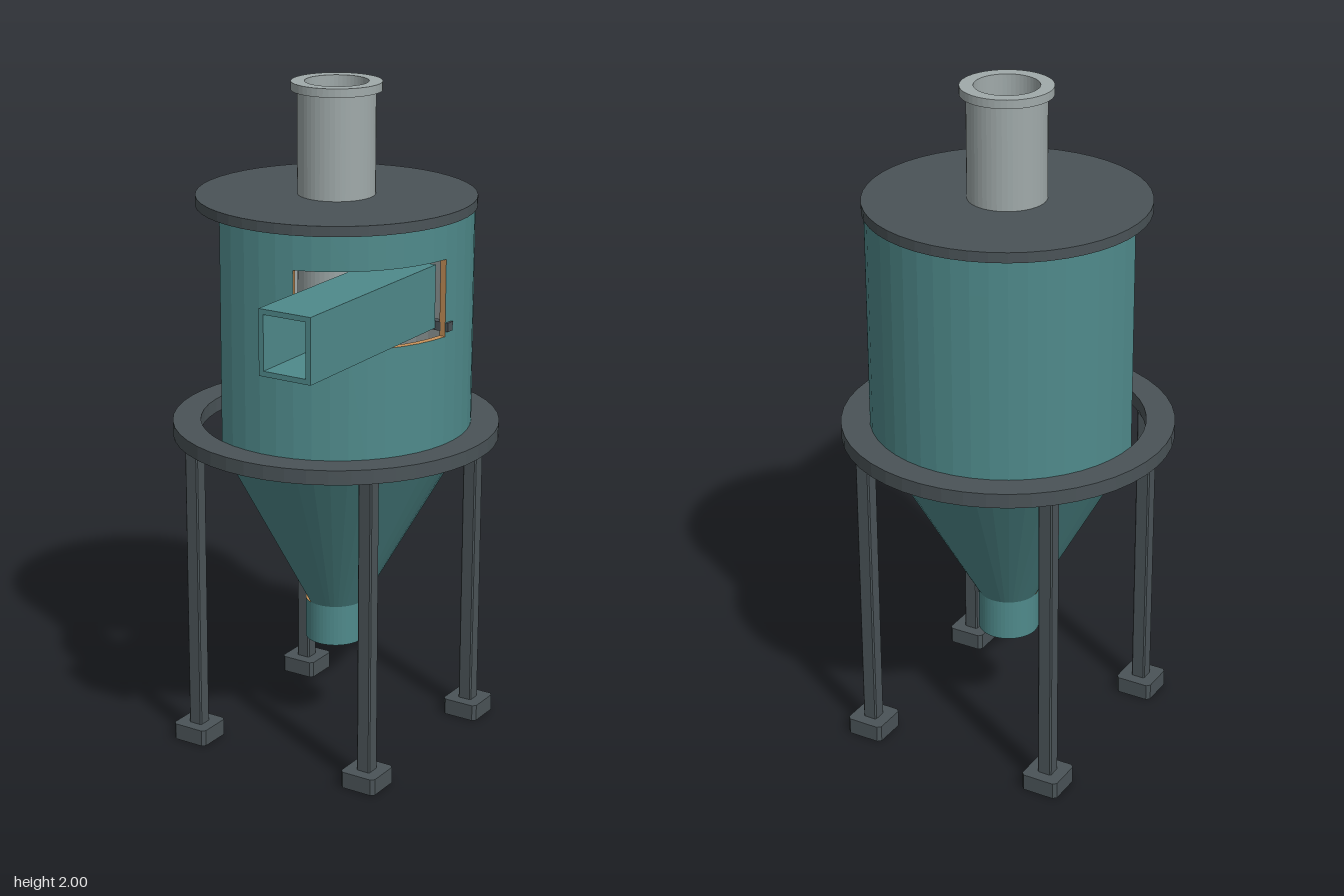
import * as THREE from 'three';

const rad = THREE.MathUtils.degToRad;
const material = (color) => new THREE.MeshStandardMaterial({ color, flatShading: true, side: THREE.DoubleSide });
const teal = material(0x4f8a8b);
const dark = material(0x4a5357);
const steel = material(0xa0aaaa);
const cutFace = material(0xc8935a);

const AXIS_Z = -0.107;
const WALL = 0.02;
const SEGMENTS = 48;

function add(parent, name, geometry, mat) {
  const mesh = new THREE.Mesh(geometry, mat);
  mesh.name = name;
  parent.add(mesh);
  return mesh;
}

// Revolved profile [r, y] between two angles, measured from +z towards +x
function revolve(points, from = 0, to = 360) {
  const steps = Math.max(1, Math.round(((to - from) / 360) * SEGMENTS));
  return new THREE.LatheGeometry(points.map(([r, y]) => new THREE.Vector2(r, y)), steps, rad(from), rad(to - from));
}

const ringProfile = (inner, outer, y0, y1) => [[inner, y0], [outer, y0], [outer, y1], [inner, y1], [inner, y0]];

// Wall segment: painted outside, bare inside
function shell(parent, name, y0, r0, y1, r1, from, to) {
  add(parent, name + 'Outside', revolve([[r0, y0], [r1, y1]], from, to), teal);
  add(parent, name + 'Inside', revolve([[r1 - WALL, y1], [r0 - WALL, y0]], from, to), steel);
}

// Radial section through the wall at one angle
function section(parent, name, corners, angle) {
  const shape = new THREE.Shape(corners.map(([r, y]) => new THREE.Vector2(r, y)));
  add(parent, name, new THREE.ShapeGeometry(shape).rotateY(rad(angle - 90)), cutFace);
}

// Upright square post with small chamfers on its vertical edges
function post(width, y0, y1, c) {
  const h = width / 2;
  const shape = new THREE.Shape([
    [h - c, -h], [h, c - h], [h, h - c], [h - c, h], [c - h, h], [-h, h - c], [-h, c - h], [c - h, -h],
  ].map(([x, y]) => new THREE.Vector2(x, y)));
  return new THREE.ExtrudeGeometry(shape, { depth: y1 - y0, bevelEnabled: false }).rotateX(-Math.PI / 2).translate(0, y0, 0);
}

// Square bar between two points
function brace(parent, name, a, b, size) {
  const start = new THREE.Vector3(...a);
  const end = new THREE.Vector3(...b);
  const mesh = add(parent, name, new THREE.BoxGeometry(size, size, start.distanceTo(end)), dark);
  mesh.position.copy(start).add(end).multiplyScalar(0.5);
  mesh.lookAt(end);
}

export function createModel() {
  const model = new THREE.Group();
  model.name = 'cycloneSeparator';
  const vessel = new THREE.Group();
  vessel.name = 'vessel';
  vessel.position.z = AXIS_Z;
  model.add(vessel);

  const R = 0.4, OUT = 0.09;
  const coneBottom = 0.425, coneTop = 0.975, bodyTop = 1.645;
  const start = -22.5, end = 270;
  const win = { y0: 1.32, y1: 1.545, from: 15, to: 82.5 };

  // Cylindrical body with cutaway and inlet window
  shell(vessel, 'bodyLower', coneTop, R, win.y0, R, start, end);
  shell(vessel, 'bodyUpper', win.y1, R, bodyTop, R, start, end);
  shell(vessel, 'bodyFront', win.y0, R, win.y1, R, start, win.from);
  shell(vessel, 'bodyRear', win.y0, R, win.y1, R, win.to, end);

  // Cone
  shell(vessel, 'cone', coneBottom, OUT, coneTop, R, start, end);

  // Exposed wall sections of the cutaway
  for (const angle of [start, end]) {
    section(vessel, 'cutawayEdge', [
      [OUT - WALL, coneBottom], [OUT, coneBottom], [R, coneTop],
      [R, bodyTop], [R - WALL, bodyTop], [R - WALL, coneTop],
    ], angle);
  }
  add(vessel, 'cutawayFloor', revolve([[OUT, coneBottom], [OUT - WALL, coneBottom]], end, 360 + start), cutFace);

  // Edges of the inlet window
  for (const angle of [win.from, win.to]) {
    section(vessel, 'windowEdge', [[R - WALL, win.y0], [R, win.y0], [R, win.y1], [R - WALL, win.y1]], angle);
  }
  add(vessel, 'windowSill', revolve([[R, win.y0], [R - WALL, win.y0]], win.from, win.to), cutFace);
  add(vessel, 'windowHead', revolve([[R - WALL, win.y1], [R, win.y1]], win.from, win.to), cutFace);

  // Dust outlet
  shell(vessel, 'outlet', 0.3, OUT, coneBottom, OUT, 0, 360);
  add(vessel, 'outletRim', revolve([[OUT - WALL, 0.3], [OUT, 0.3]]), cutFace);

  // Lid, support ring and central gas pipe
  add(vessel, 'lid', revolve(ringProfile(0.1, 0.407, bodyTop, 1.675)), dark);
  add(vessel, 'supportRing', revolve(ringProfile(R, 0.483, 0.955, 0.998)), dark);
  add(vessel, 'gasPipe', revolve(ringProfile(0.092, 0.113, 1.17, 1.99)), steel);
  add(vessel, 'gasPipeCollar', revolve(ringProfile(0.092, 0.131, 1.975, 2)), steel);

  // Legs and feet
  for (const x of [-0.3, 0.3]) {
    for (const z of [-0.3, 0.3]) {
      const leg = new THREE.Group();
      leg.name = 'leg';
      leg.position.set(x, 0, z);
      add(leg, 'legPost', post(0.044, 0.045, 0.96, 0.004), dark);
      add(leg, 'foot', post(0.115, 0, 0.05, 0.01), dark);
      vessel.add(leg);
    }
  }

  // Tangential inlet duct, open at both ends
  const [x0, x1, y0, y1, t] = [0.2, 0.363, 1.34, 1.525, 0.015];
  const rect = (a, b, c, d) => [[a, b], [c, b], [c, d], [a, d]].map(([x, y]) => new THREE.Vector2(x, y));
  const duct = new THREE.Shape(rect(x0, y0, x1, y1));
  duct.holes.push(new THREE.Path(rect(x0 + t, y0 + t, x1 - t, y1 - t).reverse()));
  const ductZ = -0.055;
  add(model, 'inletDuct',
    new THREE.ExtrudeGeometry(duct, { depth: 0.59 - ductZ, bevelEnabled: false }).translate(0, 0, ductZ), teal);

  // Duct braces
  brace(model, 'frontBrace', [0.112, 1.303, 0.283], [0.25, 1.342, 0.32], 0.025);
  brace(model, 'sideBrace', [0.35, 1.347, -0.07], [0.405, 1.347, -0.07], 0.026);

  return model;
}
